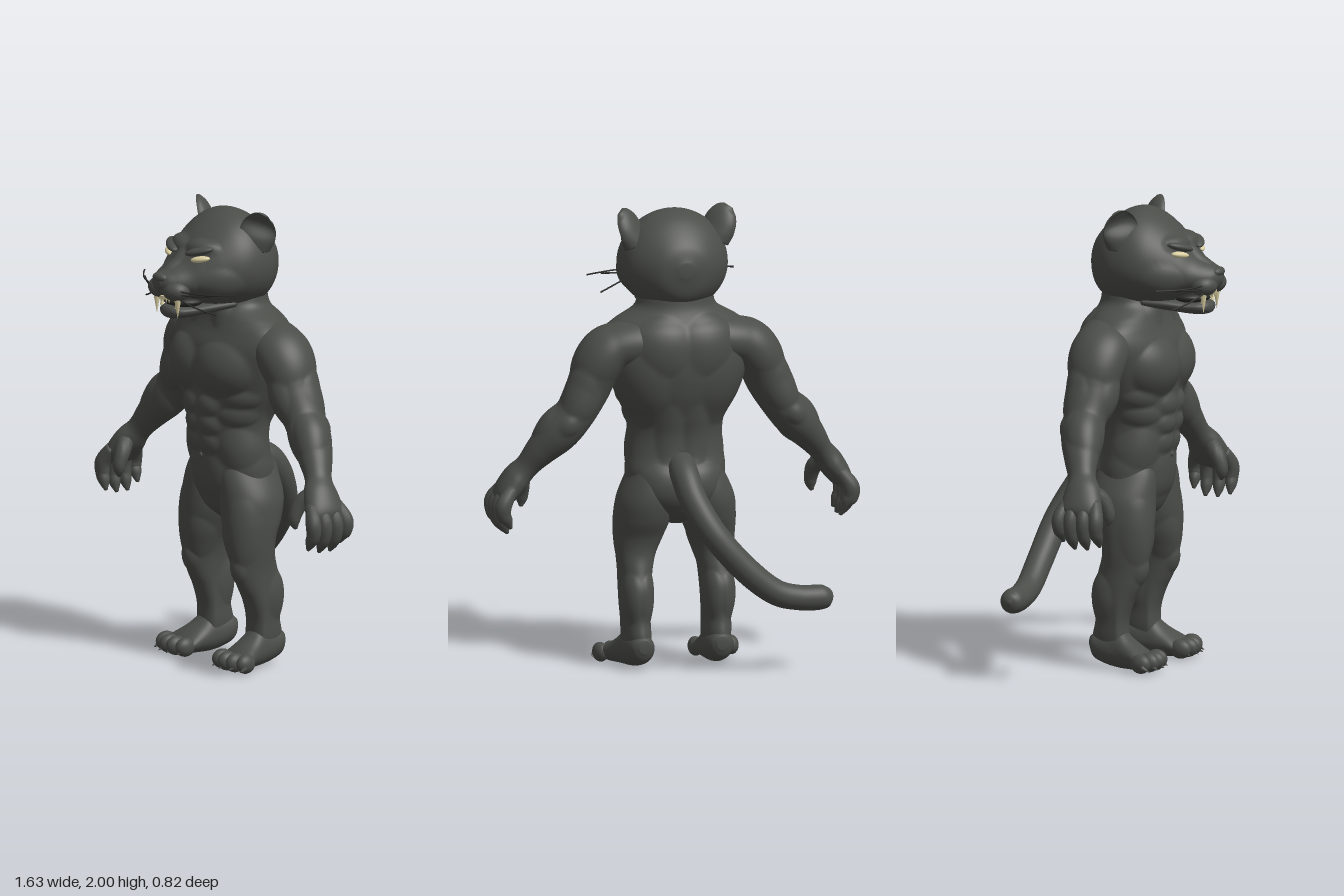
import * as THREE from 'three';

const mat = (name, color) => Object.assign(new THREE.MeshStandardMaterial({ color }), { name });
const Y = new THREE.Vector3(0, 1, 0), Z = new THREE.Vector3(0, 0, 1), DOWN = new THREE.Vector3(0, -1, 0);

// Smooth loft through rows [x, y, z, side radius, radius toward ref, radius away from ref].
function loft(rows, ref, axis, sides = 48, steps = 8) {
  const path = new THREE.CatmullRomCurve3(rows.map(r => new THREE.Vector3(r[0], r[1], r[2])), false, 'catmullrom');
  const size = new THREE.CatmullRomCurve3(rows.map(r => new THREE.Vector3(r[3], r[4], r[5])), false, 'catmullrom');
  const n = (rows.length - 1) * steps, pos = [], idx = [];
  for (let k = -1; k <= n + 1; k++) {
    const s = THREE.MathUtils.clamp(k / n, 0, 1), cap = k < 0 || k > n ? 0 : 1;
    const c = path.getPoint(s), r = size.getPoint(s);
    const t = axis || path.getTangent(s);
    const v = ref.clone().addScaledVector(t, -ref.dot(t)).normalize();
    const u = v.clone().cross(t);
    for (let j = 0; j < sides; j++) {
      const a = j / sides * Math.PI * 2, sn = Math.sin(a);
      const p = c.clone().addScaledVector(u, cap * r.x * Math.cos(a)).addScaledVector(v, cap * sn * (sn > 0 ? r.y : r.z));
      pos.push(p.x, p.y, p.z);
    }
  }
  for (let i = 0; i < n + 2; i++) for (let j = 0; j < sides; j++) {
    const a = i * sides + j, b = i * sides + (j + 1) % sides;
    idx.push(a, b, b + sides, a, b + sides, a + sides);
  }
  const g = new THREE.BufferGeometry();
  g.setAttribute('position', new THREE.Float32BufferAttribute(pos, 3));
  g.setIndex(idx);
  g.computeVertexNormals();
  return g;
}

// Raise muscles [x, y, z, rx, ry, rz, height]; the highest wins, so neighbours meet in creases.
function sculpt(g, bumps) {
  const p = g.attributes.position, m = g.attributes.normal;
  for (let i = 0; i < p.count; i++) {
    const x = p.getX(i), y = p.getY(i), z = p.getZ(i);
    let h = 0;
    for (const b of bumps) {
      const d = ((Math.abs(x) - b[0]) / b[3]) ** 2 + ((y - b[1]) / b[4]) ** 2 + ((z - b[2]) / b[5]) ** 2;
      if (d < 1) h = Math.max(h, b[6] * (1 - d));
    }
    p.setXYZ(i, x + m.getX(i) * h, y + m.getY(i) * h, z + m.getZ(i) * h);
  }
  g.computeVertexNormals();
  return g;
}

const ball = (x, y, z, rx, ry, rz, turnY = 0, turnZ = 0) =>
  new THREE.SphereGeometry(1, 24, 16).scale(rx, ry, rz).rotateZ(turnZ).rotateY(turnY).translate(x, y, z);

const spike = (x, y, z, r, h, up) => {
  const g = new THREE.ConeGeometry(r, h, 10);
  if (!up) g.rotateX(Math.PI);
  return g.translate(x, y, z);
};

function mirrored(geo) {
  const g = geo.clone().scale(-1, 1, 1), ix = g.index;
  for (let i = 0; i < ix.count; i += 3) {
    const a = ix.getX(i);
    ix.setX(i, ix.getX(i + 1));
    ix.setX(i + 1, a);
  }
  return g;
}

export function createModel() {
  const fur = mat('charcoal fur', 0x4b4d49);
  const ivory = mat('ivory', 0xd8cda0);
  const dark = mat('dark mouth and whiskers', 0x2a2a29);
  const root = new THREE.Group();
  root.name = 'pantherFigure';
  const add = (name, g, m = fur) => {
    const mesh = new THREE.Mesh(g, m);
    mesh.name = name;
    root.add(mesh);
  };
  const pair = (name, g, m = fur) => {
    add(name + 'Left', g, m);
    add(name + 'Right', mirrored(g), m);
  };

  // Torso and neck: [height, half width, front z, back z]
  const torso = [
    [0.625, 0.04, 0.05, -0.05], [0.68, 0.13, 0.11, -0.11], [0.76, 0.205, 0.142, -0.15], [0.85, 0.22, 0.155, -0.157],
    [0.93, 0.214, 0.165, -0.13], [1.02, 0.207, 0.178, -0.127], [1.1, 0.22, 0.186, -0.15], [1.2, 0.265, 0.187, -0.187],
    [1.3, 0.305, 0.197, -0.207], [1.4, 0.335, 0.185, -0.207], [1.47, 0.325, 0.155, -0.195], [1.52, 0.27, 0.138, -0.17],
    [1.57, 0.185, 0.13, -0.15], [1.62, 0.165, 0.11, -0.142], [1.7, 0.15, 0.09, -0.135],
  ].map(([y, rx, f, b]) => [0, y, 0, rx, f, -b]);
  add('torso', sculpt(loft(torso, Z, Y, 112, 10), [
    [0.135, 1.305, 0.17, 0.155, 0.125, 0.16, 0.04],  // chest
    [0.06, 1.14, 0.18, 0.066, 0.05, 0.1, 0.018],     // abdomen rows
    [0.06, 1.055, 0.17, 0.064, 0.048, 0.1, 0.017],
    [0.055, 0.97, 0.165, 0.062, 0.048, 0.1, 0.014],
    [0.04, 0.83, 0.15, 0.09, 0.1, 0.1, 0.012],
    [0.17, 0.96, 0.09, 0.08, 0.09, 0.13, 0.014],     // flanks and ribs
    [0.18, 1.1, 0.1, 0.08, 0.045, 0.1, 0.013],
    [0.2, 1.18, 0.1, 0.08, 0.045, 0.1, 0.013],
    [0.21, 1.24, -0.13, 0.15, 0.21, 0.14, 0.022],    // back
    [0.11, 1.42, -0.17, 0.125, 0.14, 0.13, 0.022],
    [0.06, 1.03, -0.12, 0.06, 0.16, 0.09, 0.014],
    [0.1, 0.78, -0.13, 0.12, 0.12, 0.13, 0.026],     // buttocks
    [0.08, 1.55, 0.1, 0.05, 0.09, 0.07, 0.012],      // neck cords
  ]));
  add('navel', ball(0, 0.915, 0.167, 0.012, 0.012, 0.006));

  // Arms with shoulders and palms
  pair('arm', sculpt(loft([
    [0.06, 1.45, -0.045, 0.1, 0.1, 0.12], [0.19, 1.425, -0.045, 0.105, 0.13, 0.135], [0.29, 1.4, -0.045, 0.103, 0.125, 0.125],
    [0.36, 1.325, -0.045, 0.1, 0.115, 0.115], [0.405, 1.225, -0.04, 0.094, 0.1, 0.1], [0.46, 1.13, -0.045, 0.086, 0.09, 0.095],
    [0.527, 1.05, -0.037, 0.086, 0.085, 0.09], [0.6, 0.97, -0.01, 0.068, 0.073, 0.073], [0.655, 0.9, 0.015, 0.052, 0.06, 0.06],
    [0.7, 0.845, 0.035, 0.057, 0.08, 0.08], [0.75, 0.775, 0.045, 0.047, 0.09, 0.09], [0.77, 0.74, 0.045, 0.02, 0.06, 0.06],
  ], Z, null, 64, 10), [
    [0.36, 1.38, -0.02, 0.13, 0.15, 0.17, 0.02],     // shoulder cap
    [0.39, 1.2, 0.06, 0.085, 0.11, 0.09, 0.018],     // front of upper arm
    [0.45, 1.22, -0.1, 0.09, 0.12, 0.09, 0.018],     // back of upper arm
    [0.57, 1.08, 0.0, 0.08, 0.11, 0.09, 0.016],      // forearm
    [0.5, 1.03, 0.02, 0.06, 0.1, 0.08, 0.01],
    [0.51, 1.09, -0.14, 0.05, 0.05, 0.05, 0.01],
  ]));

  // Fingers and thumbs
  [0.127, 0.07, 0.013, -0.04].forEach((z, i) => {
    const d = i === 3 ? 0.03 : i === 0 ? 0.015 : 0;
    pair('finger' + (i + 1), loft([
      [0.73, 0.81, 0.045 + (z - 0.045) * 0.75, 0.028, 0.027, 0.027], [0.774, 0.745, z, 0.036, 0.032, 0.032],
      [0.776, 0.685 + d / 2, z, 0.033, 0.029, 0.029], [0.76, 0.645 + d, z + 0.003, 0.026, 0.024, 0.024],
      [0.742, 0.608 + d, z + 0.006, 0.007, 0.007, 0.007],
    ], Z, null, 14, 5));
  });
  pair('thumb', loft([
    [0.69, 0.86, 0.06, 0.035, 0.035, 0.035], [0.654, 0.815, 0.105, 0.035, 0.035, 0.035], [0.645, 0.765, 0.13, 0.03, 0.03, 0.03],
    [0.645, 0.73, 0.135, 0.024, 0.024, 0.024], [0.65, 0.7, 0.13, 0.007, 0.007, 0.007],
  ], Z, null, 14, 5));

  // Legs: [x, height, half width, front z, back z]
  const leg = [
    [0.11, 0.93, 0.06, 0.1, -0.08], [0.122, 0.84, 0.092, 0.135, -0.135], [0.137, 0.74, 0.12, 0.14, -0.15],
    [0.146, 0.65, 0.12, 0.14, -0.13], [0.16, 0.57, 0.104, 0.135, -0.092], [0.173, 0.5, 0.086, 0.128, -0.08],
    [0.178, 0.43, 0.074, 0.118, -0.095], [0.181, 0.36, 0.07, 0.095, -0.115], [0.182, 0.29, 0.068, 0.06, -0.117],
    [0.18, 0.21, 0.064, 0.035, -0.112], [0.178, 0.13, 0.063, 0.035, -0.125], [0.178, 0.06, 0.05, 0.04, -0.1],
  ].map(([x, y, r, f, b]) => [x, y, 0, r, f, -b]);
  pair('leg', sculpt(loft(leg, Z, DOWN, 64, 10), [
    [0.21, 0.6, 0.1, 0.08, 0.15, 0.1, 0.012],        // thigh
    [0.11, 0.53, 0.09, 0.06, 0.1, 0.09, 0.012],
    [0.18, 0.42, 0.11, 0.055, 0.055, 0.06, 0.01],    // knee
    [0.22, 0.31, -0.08, 0.06, 0.11, 0.08, 0.014],    // calf
    [0.14, 0.31, -0.08, 0.06, 0.11, 0.08, 0.014],
  ]));

  // Feet and toes
  pair('foot', loft([
    [0.174, 0.11, -0.137, 0.025, 0.025, 0.03], [0.175, 0.1, -0.115, 0.05, 0.05, 0.06], [0.177, 0.085, -0.06, 0.064, 0.08, 0.068],
    [0.182, 0.075, 0.0, 0.07, 0.105, 0.07], [0.192, 0.065, 0.06, 0.082, 0.068, 0.062], [0.207, 0.05, 0.12, 0.098, 0.04, 0.047],
    [0.213, 0.04, 0.155, 0.085, 0.02, 0.03],
  ], Y, Z, 40));
  [[0.136, 0.15], [0.189, 0.16], [0.242, 0.156], [0.292, 0.138]].forEach(([x, z], i) => {
    pair('toe' + (i + 1), ball(x, 0.045, z, 0.032, 0.042, 0.048, (x - 0.17) * 1.5));
    pair('toeClaw' + (i + 1), spike(0, 0, 0, 0.014, 0.036, true).rotateX(2.0).translate(x + (x - 0.17) * 0.2, 0.024, z + 0.034));
  });

  // Tail
  add('tail', loft([
    [0.005, 0.9, -0.1, 0.06, 0.06, 0.06], [0.01, 0.855, -0.19, 0.062, 0.06, 0.06], [-0.01, 0.755, -0.265, 0.06, 0.058, 0.058],
    [-0.085, 0.615, -0.33, 0.058, 0.058, 0.058], [-0.21, 0.47, -0.352, 0.058, 0.057, 0.057], [-0.34, 0.365, -0.355, 0.056, 0.056, 0.056],
    [-0.45, 0.332, -0.352, 0.054, 0.055, 0.055], [-0.55, 0.328, -0.348, 0.053, 0.054, 0.054], [-0.588, 0.33, -0.347, 0.036, 0.036, 0.036],
    [-0.604, 0.33, -0.346, 0.006, 0.006, 0.006],
  ], new THREE.Vector3(1, 1, -0.4).normalize(), null, 28));

  // Head: [z, middle, half width, top, bottom]
  const head = [
    [-0.185, 1.75, 0.03, 1.78, 1.72], [-0.155, 1.75, 0.125, 1.86, 1.62], [-0.07, 1.75, 0.21, 1.948, 1.56], [0.02, 1.75, 0.237, 1.985, 1.55],
    [0.1, 1.745, 0.232, 1.967, 1.56], [0.18, 1.73, 0.197, 1.91, 1.57], [0.25, 1.715, 0.15, 1.835, 1.605], [0.295, 1.7, 0.118, 1.785, 1.625],
    [0.345, 1.69, 0.088, 1.757, 1.635], [0.38, 1.69, 0.058, 1.738, 1.65], [0.398, 1.695, 0.02, 1.712, 1.68],
  ].map(([z, y, r, t, b]) => [0, y, z, r, t - y, y - b]);
  add('head', sculpt(loft(head, Y, Z, 80, 10), [
    [0.085, 1.845, 0.23, 0.09, 0.035, 0.09, 0.024],  // brow
    [0.16, 1.69, 0.17, 0.09, 0.08, 0.11, 0.014],     // cheeks
    [0, 1.79, 0.29, 0.035, 0.07, 0.09, 0.012],       // bridge of the nose
  ]));
  pair('brow', ball(0.095, 1.832, 0.242, 0.068, 0.018, 0.032, 0.55, 0.24));
  pair('eye', ball(0.113, 1.801, 0.249, 0.044, 0.014, 0.02, 0.6, 0.15), ivory);
  pair('muzzlePad', ball(0.055, 1.665, 0.335, 0.062, 0.046, 0.056, 0.35));
  add('nose', ball(0, 1.72, 0.378, 0.044, 0.022, 0.027));
  add('noseCleft', ball(0, 1.68, 0.383, 0.006, 0.026, 0.01), dark);

  // Mouth, jaw and teeth
  add('mouthInside', ball(0, 1.607, 0.255, 0.095, 0.03, 0.085), dark);
  add('lowerJaw', loft([
    [0, 1.59, 0.08, 0.15, 0.03, 0.035], [0, 1.583, 0.18, 0.128, 0.03, 0.04], [0, 1.573, 0.26, 0.096, 0.026, 0.04],
    [0, 1.57, 0.315, 0.077, 0.026, 0.037], [0, 1.568, 0.345, 0.05, 0.022, 0.027], [0, 1.567, 0.357, 0.015, 0.008, 0.01],
  ], Y, Z, 32));
  pair('upperFang', spike(0.076, 1.59, 0.342, 0.016, 0.09, false), ivory);
  pair('lowerFang', spike(0.054, 1.607, 0.33, 0.01, 0.045, true), ivory);
  for (let i = -2; i <= 2; i++) add('frontTooth', spike(i * 0.016, 1.622, 0.362 - Math.abs(i) * 0.003, 0.009, 0.03, false), ivory);

  // Cupped ears
  pair('ear', loft([
    [0.175, 1.84, 0.005, 0.07, 0.045, 0.055], [0.195, 1.885, 0.01, 0.08, 0.026, 0.052], [0.213, 1.93, 0.012, 0.075, -0.012, 0.044],
    [0.23, 1.965, 0.012, 0.055, -0.01, 0.032], [0.243, 1.987, 0.01, 0.024, 0, 0.014],
  ], new THREE.Vector3(0.75, 0, 0.66), null, 32));

  // Whiskers
  [[1.672, 0.33, 1.675, 0.225], [1.655, 0.25, 1.668, 0.28], [1.642, 0.255, 1.585, 0.27]].forEach(([y, x, tipY, tipZ], i) => {
    const curve = new THREE.QuadraticBezierCurve3(
      new THREE.Vector3(0.08, y, 0.355), new THREE.Vector3(x * 0.66, (y + tipY) / 2 - 0.008, 0.33), new THREE.Vector3(x, tipY, tipZ));
    pair('whisker' + (i + 1), new THREE.TubeGeometry(curve, 14, 0.0035, 6), dark);
  });
  return root;
}
